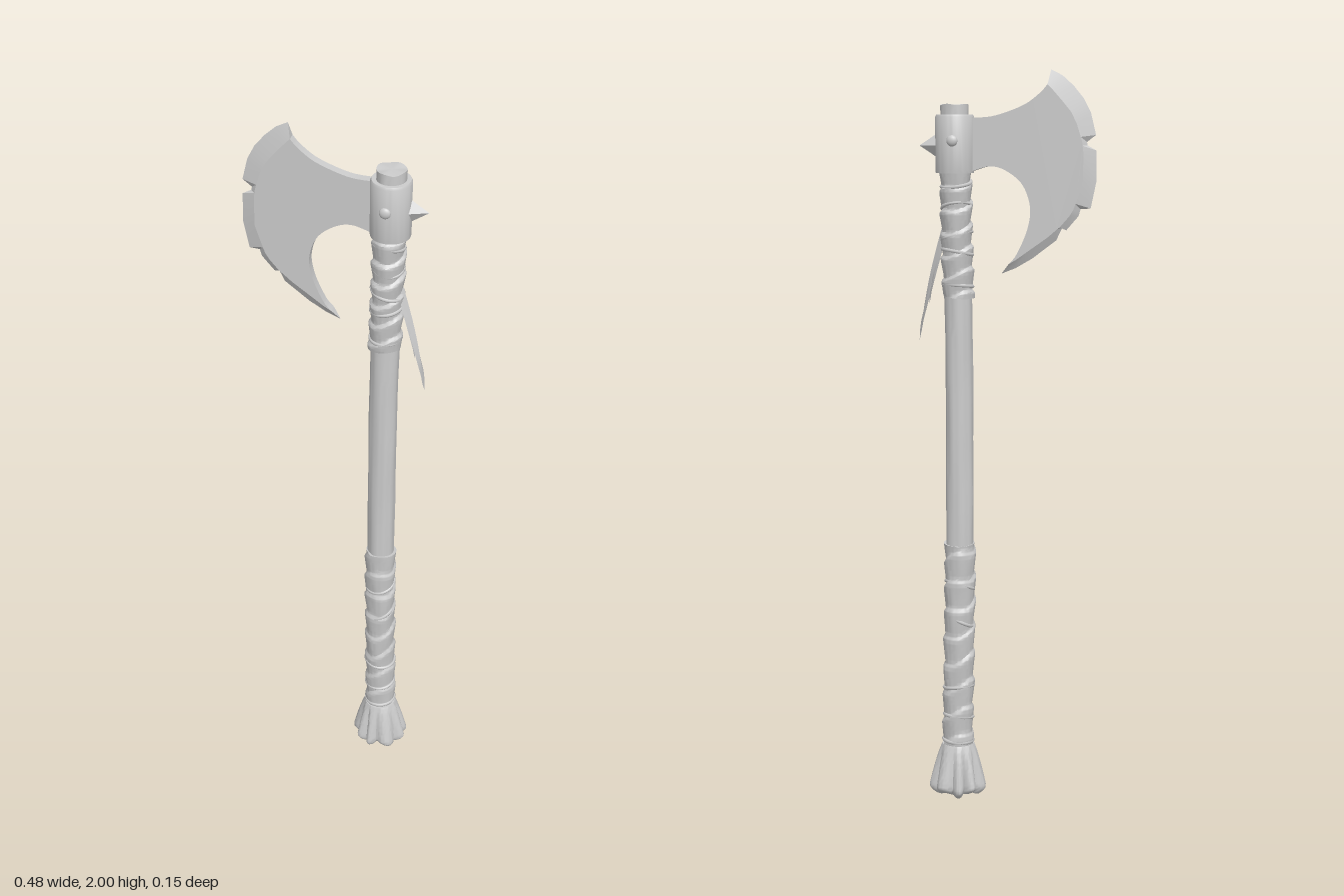
import * as THREE from 'three';
import { toCreasedNormals } from 'three/addons/utils/BufferGeometryUtils.js';

const mat = new THREE.MeshStandardMaterial({ color: 0xcccccc, roughness: 0.8 });
const thinMat = new THREE.MeshStandardMaterial({ color: 0xcccccc, roughness: 0.8, side: THREE.DoubleSide });
const TAU = Math.PI * 2;

// Slightly bowed centre line of the shaft
const axisX = y => 0.14 - 0.01 * Math.sin(Math.PI * y / 1.9);
const wobble = (a, y) => Math.sin(3 * a + 9 * y) + 0.7 * Math.sin(5 * a - 23 * y + 1) + 0.5 * Math.sin(2 * a + 47 * y);

function build(positions, index, crease = 0.6) {
  const g = new THREE.BufferGeometry();
  g.setAttribute('position', new THREE.Float32BufferAttribute(positions, 3));
  g.setIndex(index);
  return toCreasedNormals(g, crease);
}

// Closed sleeve around the shaft with radius(angle, y, t)
function sleeve(y0, y1, rows, seg, radius, endWave = () => 0) {
  const pos = [], idx = [];
  for (let j = -1; j <= rows + 1; j++) {
    const t = THREE.MathUtils.clamp(j / rows, 0, 1);
    for (let i = 0; i < seg; i++) {
      const a = i / seg * TAU, y = y0 + (y1 - y0) * t;
      const r = j < 0 || j > rows ? 0 : radius(a, y, t);
      pos.push(axisX(y) + r * Math.cos(a), y + (j >= 0 && j <= rows ? endWave(a, t) : 0), r * Math.sin(a));
    }
  }
  for (let j = 0; j < rows + 2; j++) for (let i = 0; i < seg; i++) {
    const p = j * seg + i, q = j * seg + (i + 1) % seg;
    idx.push(p, p + seg, q, q, p + seg, q + seg);
  }
  return build(pos, idx);
}

// Leather strips wound helically, each overlapping the next
const windings = (base, pitch, lift) => (a, y) => {
  const turn = y / pitch + a / TAU + 0.12 * Math.sin(2 * a + 11 * y);
  const f = turn - Math.floor(turn);
  return base + lift * Math.min(f * 1.3, (1 - f) * 7, 1) + 0.0008 * wobble(a, y);
};

// Flattened cord tied around the shaft, tilted
function cord(y, r, tilt, turn, width = 0.006) {
  const g = new THREE.TorusGeometry(r, width, 6, 32);
  g.rotateX(Math.PI / 2).rotateZ(tilt).rotateY(turn).translate(axisX(y), y, 0);
  return g;
}

// Outer edge with nicks, paired with the inner line of the ground bevel: x, y, x, y
const EDGE = [
  [-0.12, 2.0, -0.112, 1.962], [-0.15, 1.985, -0.13, 1.943], [-0.18, 1.958, -0.152, 1.918],
  [-0.207, 1.925, -0.175, 1.89], [-0.226, 1.888, -0.19, 1.86], [-0.24, 1.83, -0.201, 1.825],
  [-0.216, 1.812, -0.205, 1.81], [-0.218, 1.803, -0.206, 1.802], [-0.241, 1.79, -0.208, 1.785],
  [-0.242, 1.71, -0.208, 1.71], [-0.227, 1.638, -0.188, 1.65], [-0.2, 1.636, -0.182, 1.634],
  [-0.195, 1.618, -0.172, 1.618], [-0.162, 1.58, -0.146, 1.588], [-0.152, 1.588, -0.138, 1.582],
  [-0.135, 1.553, -0.112, 1.56], [-0.07, 1.504, -0.055, 1.52], [-0.025, 1.478, -0.03, 1.502], [0.013, 1.463, -0.008, 1.489]];
const HALF = 0.012;

function bladePlate() {
  const v = (x, y) => new THREE.Vector2(x, y);
  const s = new THREE.Shape(EDGE.map(e => v(e[2], e[3])));
  s.splineThru([v(-0.03, 1.516), v(-0.058, 1.58), v(-0.066, 1.64), v(-0.045, 1.7), v(0, 1.737), v(0.045, 1.748), v(0.1, 1.732)]);
  s.lineTo(0.1, 1.876);
  s.splineThru([v(0.034, 1.88), v(-0.045, 1.907), v(-0.09, 1.938), v(-0.112, 1.962)]);
  return new THREE.ExtrudeGeometry(s, { depth: HALF * 2, bevelEnabled: false, curveSegments: 36 }).translate(0, 0, -HALF);
}

function bladeEdge() {
  const pos = [], idx = [], n = EDGE.length - 1;
  for (const [ox, oy, bx, by] of EDGE) pos.push(ox, oy, 0, bx, by, HALF, bx, by, -HALF);
  for (let i = 0; i < n; i++) {
    const p = i * 3, q = p + 3;
    idx.push(p, q, p + 1, p + 1, q, q + 1, p, p + 2, q, p + 2, q + 2, q);
  }
  idx.push(0, 1, 2, n * 3, n * 3 + 2, n * 3 + 1);
  return build(pos, idx, 0.3);
}

// Folded hanging strip, pointed at the lower end
function strip(top, bottom, width, fold) {
  const pos = [], idx = [], n = 12;
  for (let j = 0; j <= n; j++) {
    const t = j / n, w = width * (0.45 + 0.9 * t) * Math.sqrt(1 - t ** 4);
    const c = top.clone().lerp(bottom, t);
    c.x += 0.008 * Math.sin(Math.PI * t);
    for (const k of [-1, 0, 1]) pos.push(c.x - Math.abs(k) * fold * Math.sin(Math.PI * Math.min(1, t + 0.15)), c.y, c.z + k * w);
  }
  for (let j = 0; j < n; j++) for (let k = 0; k < 2; k++) {
    const p = j * 3 + k;
    idx.push(p, p + 1, p + 3, p + 1, p + 4, p + 3);
  }
  return build(pos, idx, 0.3);
}

export function createModel() {
  const model = new THREE.Group();
  const add = (name, geometry, material = mat) => {
    const m = new THREE.Mesh(geometry, material);
    m.name = name;
    model.add(m);
    return m;
  };

  // Wooden shaft
  add('shaft', sleeve(0.05, 1.91, 60, 28, (a, y) => 0.0375 + 0.0007 * wobble(a, y * 0.5),
    (a, t) => t === 1 ? 0.002 * Math.sin(4 * a) : 0));

  // Leather grips
  add('lowerGrip', sleeve(0.13, 0.72, 150, 40, windings(0.0385, 0.075, 0.006), (a, t) => t === 1 ? 0.005 * Math.sin(a) : 0));
  add('upperGrip', sleeve(1.4, 1.735, 100, 40, windings(0.038, 0.058, 0.007), (a, t) => t === 0 ? 0.005 * Math.sin(a + 1) : 0));

  // Cords tied over the grips: height, radius, tilt, turn
  const cords = [[0.155, 0.041, 0.05, 0], [0.225, 0.04, 0.16, 1], [0.31, 0.041, 0.15, 2.4], [0.5, 0.04, 0.45, 0.4],
    [0.6, 0.04, 0.4, 0.9], [1.43, 0.04, 0.1, 1], [1.52, 0.041, 0.2, 0.5], [1.565, 0.041, -0.25, 0],
    [1.64, 0.039, 0.35, 2], [1.7, 0.04, -0.2, 1]];
  for (const [y, r, tilt, turn] of cords) add('gripCord', cord(y, r, tilt, turn, 0.005));

  // Gathered, flaring leather at the foot
  add('pommelRuffle', sleeve(0.012, 0.145, 20, 90, (a, y, t) => {
    const flare = Math.pow(1 - t, 0.8);
    const fold = Math.abs(Math.sin(4.5 * a + 0.5 * Math.sin(3 * a))) - 0.6;
    const curl = t < 0.15 ? 1 - 4 * (0.15 - t) ** 2 / 0.09 * 0.25 : 1;
    return (0.044 + 0.03 * flare + fold * 0.022 * flare + 0.003 * Math.sin(2 * a + 1) * flare) * curl;
  }, (a, t) => (1 - t) ** 3 * (-0.006 + 0.006 * Math.sin(5 * a + 1))));

  // Iron socket and rivets
  const collar = new THREE.LatheGeometry([[0.038, 1.73], [0.051, 1.73], [0.052, 1.736], [0.052, 1.878], [0.049, 1.884], [0.038, 1.884]]
    .map(p => new THREE.Vector2(...p)), 40);
  add('socket', toCreasedNormals(collar.translate(0.14, 0, 0), 0.5));
  for (const side of [1, -1]) {
    const rivet = add('rivet', new THREE.SphereGeometry(0.015, 16, 10));
    rivet.scale.z = 0.6;
    rivet.position.set(0.137, 1.815, side * 0.051);
  }

  // Rear spike
  const spike = new THREE.ConeGeometry(0.036, 0.055, 4).toNonIndexed();
  spike.computeVertexNormals();
  spike.rotateZ(-Math.PI / 2).scale(1, 1, 0.6).translate(0.209, 1.803, 0);
  add('rearSpike', spike);

  // Bearded blade
  add('bladePlate', toCreasedNormals(bladePlate(), 0.5));
  add('bladeEdge', bladeEdge());

  // Loose ends of the upper binding
  const P = (x, y, z) => new THREE.Vector3(x, y, z);
  add('longStrip', strip(P(0.172, 1.6, 0), P(0.24, 1.28, 0), 0.017, 0.012), thinMat);
  add('shortStrip', strip(P(0.17, 1.57, 0.008), P(0.213, 1.38, 0.006), 0.012, 0.008), thinMat);

  return model;
}
